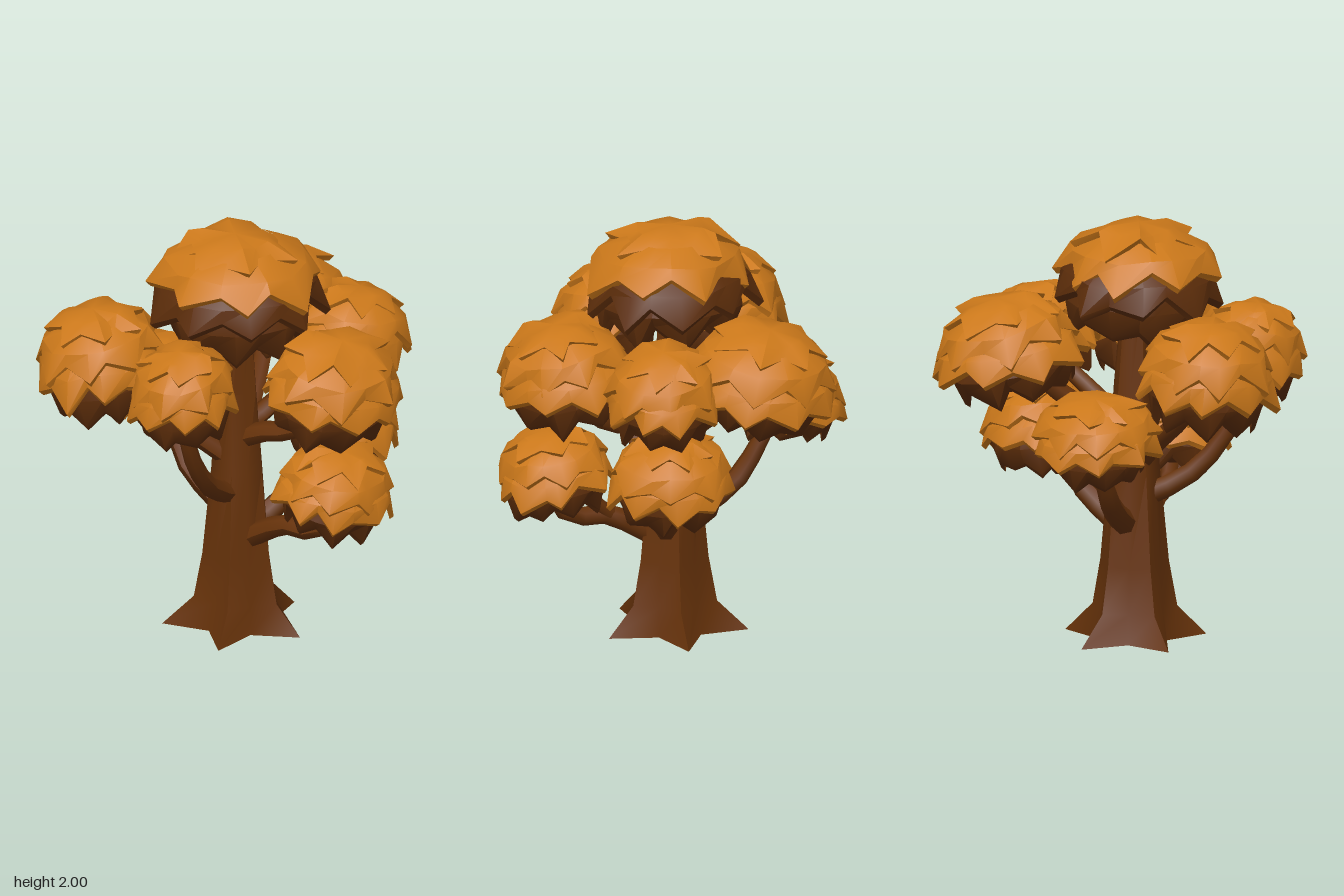
import * as THREE from 'three';
import { toCreasedNormals } from 'three/addons/utils/BufferGeometryUtils.js';

const bark = new THREE.MeshStandardMaterial({ color: 0x66320a });
bark.name = 'barkBrown';
const leaf = new THREE.MeshStandardMaterial({ color: 0xcb781a });
leaf.name = 'autumnOrange';
const shade = new THREE.MeshStandardMaterial({ color: 0x5c2d0a });
shade.name = 'innerLeafBrown';

// Small seeded generator, returns -1..1
let seed = 11;
function jitter() {
  seed = (seed * 16807) % 2147483647;
  return (seed / 2147483647) * 2 - 1;
}

// Skin a list of rings (bottom to top for outward faces); each ring is an array of [x, y, z].
// The first innerSpans bands use material 0, the rest material 1.
function loft(rings, crease, innerSpans = 0) {
  const n = rings[0].length;
  const index = [];
  for (let i = 0; i < rings.length - 1; i++) {
    for (let j = 0; j < n; j++) {
      const k = (j + 1) % n;
      const a = i * n + j, b = i * n + k, c = a + n, d = b + n;
      index.push(a, b, d, a, d, c);
    }
  }
  const geo = new THREE.BufferGeometry();
  geo.setAttribute('position', new THREE.Float32BufferAttribute(rings.flat(2), 3));
  geo.setIndex(index);
  if (innerSpans) {
    const split = innerSpans * n * 6;
    geo.addGroup(0, split, 0);
    geo.addGroup(split, index.length - split, 1);
  }
  return toCreasedNormals(geo, crease);
}

function addMesh(parent, geo, material, name) {
  const mesh = new THREE.Mesh(geo, material);
  mesh.name = name;
  parent.add(mesh);
}

// One skirt of pointed leaves: profile is [radius, height] from its top to its tips
function leafSkirt(size, petals, phase, profile) {
  const [rx, h, rz] = size;
  const n = petals * 2;
  const last = profile.length - 1;
  const columns = Array.from({ length: n }, (_, j) => ({
    t: phase + (j / n) * Math.PI * 2 + jitter() * 0.1,
    r: jitter() * 0.06,
    y: jitter() * 0.06,
    tip: j % 2 === 0,
  }));
  const ring = (step, inset) => columns.map((c) => {
    let [r, y] = profile[step];
    if (step === last && !c.tip) {  // notch between two leaves
      const [pr, py] = profile[step - 1];
      r += (pr - r) * 0.5 - 0.04;
      y += (py - y) * 0.55;
    }
    const w = step / last;
    r = Math.max(0, r + c.r * w - inset);
    y += c.y * w - inset * 0.8;
    return [Math.sin(c.t) * r * rx, y * h, Math.cos(c.t) * r * rz];
  });
  const rings = [];
  for (let i = 0; i <= last; i++) rings.push(ring(i, 0.06));
  for (let i = last; i >= 0; i--) rings.push(ring(i, 0));
  return loft(rings, 0.65, last);
}

const tiers = [
  { name: 'leafCap', petals: 7, profile: [[0, 1], [0.4, 0.97], [0.77, 0.83]] },
  { name: 'upperLeaves', petals: 8, profile: [[0.5, 0.9], [0.8, 0.77], [0.99, 0.52]] },
  { name: 'middleLeaves', petals: 9, profile: [[0.66, 0.72], [0.9, 0.56], [1.03, 0.3]] },
  { name: 'lowerLeaves', petals: 8, profile: [[0.76, 0.52], [0.85, 0.32], [0.76, 0.04]] },
];

// Closed bowl beneath the leaves
function leafCore([rx, h, rz]) {
  const profile = [[0, 0.1], [0.4, 0.12], [0.66, 0.22], [0.78, 0.45], [0.68, 0.68], [0.4, 0.86]];
  const rings = profile.map(([r, y]) => Array.from({ length: 12 }, (_, j) => {
    const t = (j / 12) * Math.PI * 2;
    return [Math.sin(t) * r * rx, y * h, Math.cos(t) * r * rz];
  }));
  return loft(rings, 0.9);
}

// brightTiers is how many skirts, from the top, are orange
function leafClump(name, [x, y, z], size, tilt, brightTiers) {
  const clump = new THREE.Group();
  clump.name = name;
  addMesh(clump, leafCore(size), shade, 'leafCore');
  tiers.forEach((tier, i) => {
    const phase = i * 0.35 + jitter();
    const outer = i < brightTiers ? leaf : shade;
    addMesh(clump, leafSkirt(size, tier.petals, phase, tier.profile), [shade, outer], tier.name);
  });
  // Lean away from the trunk, about the middle of the clump
  const d = Math.hypot(x, z);
  const half = size[1] / 2;
  clump.quaternion.setFromAxisAngle(new THREE.Vector3(z / d, 0, -x / d), tilt);
  clump.position.set(0, -half, 0).applyQuaternion(clump.quaternion).add(new THREE.Vector3(x, y + half, z));
  return clump;
}

// Tapered limb along a few points
function limb(points, r0, r1) {
  const path = new THREE.CatmullRomCurve3(points.map((p) => new THREE.Vector3(...p)), false, 'centripetal');
  const steps = 7, sides = 7;
  const geo = new THREE.TubeGeometry(path, steps, 1, sides);
  const pos = geo.attributes.position;
  const v = new THREE.Vector3();
  for (let i = 0; i < pos.count; i++) {
    const u = Math.floor(i / (sides + 1)) / steps;
    const c = path.getPointAt(u);
    v.fromBufferAttribute(pos, i).sub(c).multiplyScalar(r0 + (r1 - r0) * u).add(c);
    pos.setXYZ(i, v.x, v.y, v.z);
  }
  geo.computeVertexNormals();
  return geo;
}

// Trunk with five roots: [height, ridge radius, groove radius, centre x, centre z]
function trunk() {
  const levels = [
    [0, 0, 0, -0.03, 0.05],
    [0, 0.35, 0.17, -0.03, 0.05],
    [0.14, 0.21, 0.155, -0.02, 0.05],
    [0.36, 0.17, 0.14, -0.02, 0.05],
    [0.8, 0.128, 0.11, -0.02, 0.05],
    [1.2, 0.1, 0.085, -0.025, 0.05],
    [1.65, 0.07, 0.06, -0.02, 0.06],
    [1.65, 0, 0, -0.02, 0.06],
  ];
  const rings = levels.map(([y, ridge, groove, cx, cz]) => Array.from({ length: 10 }, (_, j) => {
    const t = (j / 10 + 0.05) * Math.PI * 2;
    const r = j % 2 ? groove : ridge;
    return [cx + Math.sin(t) * r, y, cz + Math.cos(t) * r];
  }));
  return loft(rings, 1.1);
}

export function createModel() {
  const tree = new THREE.Group();
  tree.name = 'tree';
  addMesh(tree, trunk(), bark, 'trunk');

  const branches = [
    ['lowLeftBranch', [[0.02, 0.44, 0.07], [0.14, 0.52, 0.09], [0.3, 0.6, 0.12], [0.46, 0.61, 0.14], [0.55, 0.69, 0.15], [0.58, 0.85, 0.15]], 0.06, 0.035],
    ['lowLeftFork', [[0.26, 0.58, 0.11], [0.36, 0.67, 0.1], [0.45, 0.78, 0.1]], 0.04, 0.025],
    ['lowRightBranch', [[-0.05, 0.54, 0.03], [-0.19, 0.61, 0.01], [-0.33, 0.7, -0.01], [-0.45, 0.9, -0.04], [-0.56, 1.1, -0.05]], 0.065, 0.03],
    ['lowBackBranch', [[0.02, 0.5, 0.02], [0.09, 0.56, -0.08], [0.13, 0.66, -0.2], [0.18, 0.8, -0.28], [0.25, 1.0, -0.4]], 0.06, 0.035],
    ['frontBranch', [[-0.02, 0.68, 0.1], [-0.01, 0.78, 0.3], [0, 0.92, 0.44], [0.01, 1.1, 0.54], [0.02, 1.35, 0.6]], 0.055, 0.03],
    ['frontRightBranch', [[-0.04, 0.85, 0.08], [-0.2, 1.0, 0.2], [-0.36, 1.14, 0.33], [-0.52, 1.32, 0.45]], 0.055, 0.035],
    ['highLeftBranch', [[0, 0.95, 0.06], [0.13, 1.02, 0.08], [0.34, 1.09, 0.09], [0.52, 1.3, 0.1]], 0.055, 0.04],
    ['highBackBranch', [[-0.03, 0.95, 0.02], [-0.07, 1.1, -0.17], [-0.13, 1.25, -0.35], [-0.17, 1.42, -0.48]], 0.055, 0.04],
    ['highBackLeftBranch', [[0, 1.0, 0.02], [0.1, 1.12, -0.13], [0.2, 1.25, -0.3], [0.29, 1.42, -0.43]], 0.05, 0.035],
  ];
  for (const [name, points, r0, r1] of branches) addMesh(tree, limb(points, r0, r1), bark, name);

  // Name, upright base centre, size (x radius, height, z radius), lean, orange skirts
  const clumps = [
    ['crownLeaves', [-0.02, 1.46, 0.07], [0.41, 0.54, 0.4], 0.03, 2],
    ['highLeftLeaves', [0.54, 1.13, 0.09], [0.32, 0.48, 0.35], 0.2, 3],
    ['frontLeaves', [0.02, 1.18, 0.6], [0.26, 0.44, 0.26], 0.18, 3],
    ['frontRightLeaves', [-0.52, 1.14, 0.47], [0.31, 0.51, 0.33], 0.15, 3],
    ['lowRightLeaves', [-0.57, 0.9, -0.05], [0.29, 0.39, 0.3], 0.18, 3],
    ['highBackLeaves', [-0.18, 1.18, -0.52], [0.36, 0.48, 0.36], 0.23, 3],
    ['highBackLeftLeaves', [0.3, 1.17, -0.44], [0.28, 0.44, 0.29], 0.2, 3],
    ['lowBackLeaves', [0.25, 0.74, -0.42], [0.3, 0.42, 0.29], 0.18, 3],
    ['lowLeftLeaves', [0.57, 0.66, 0.14], [0.28, 0.41, 0.29], 0.18, 3],
  ];
  for (const args of clumps) tree.add(leafClump(...args));
  return tree;
}
